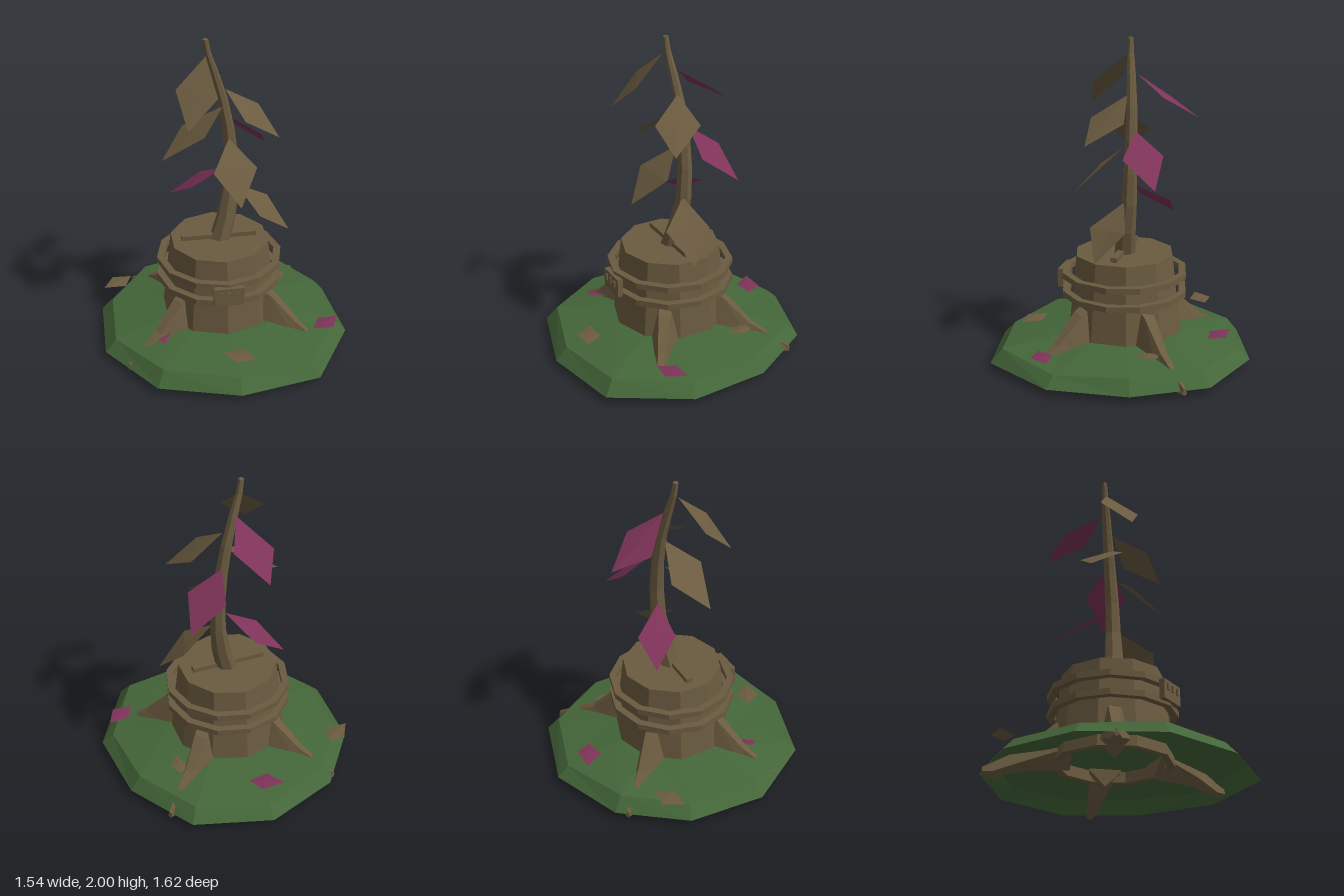
import * as THREE from 'three';

const mat = (name, color) => {
  const m = new THREE.MeshStandardMaterial({ color, flatShading: true, side: THREE.DoubleSide });
  m.name = name;
  return m;
};

// Skins a list of cross-sections, each an equal-length ring of [x, y, z] points
function loft(rings, capped) {
  const n = rings[0].length, index = [];
  for (let i = 0; i < rings.length - 1; i++) {
    for (let j = 0; j < n; j++) {
      const a = i * n + j, b = i * n + (j + 1) % n;
      index.push(a, b, a + n, b, b + n, a + n);
    }
  }
  if (capped) {
    const e = (rings.length - 1) * n;
    for (let j = 1; j < n - 1; j++) index.push(0, j + 1, j, e, e + j, e + j + 1);
  }
  const g = new THREE.BufferGeometry();
  g.setAttribute('position', new THREE.Float32BufferAttribute(rings.flat(2), 3));
  g.setIndex(index);
  g.computeVertexNormals();
  return g;
}

// Four-cornered leaf with a slightly raised middle
function leafGeometry(corners) {
  const mid = [0, 1, 2].map(k => corners.reduce((s, c) => s + c[k], 0) / 4);
  mid[1] += 0.006;
  const g = new THREE.BufferGeometry();
  g.setAttribute('position', new THREE.Float32BufferAttribute([...corners, mid].flat(), 3));
  g.setIndex([0, 1, 4, 1, 2, 4, 2, 3, 4, 3, 0, 4]);
  g.computeVertexNormals();
  return g;
}

export function createModel() {
  const model = new THREE.Group();
  const bark = mat('bark brown', 0x6b5b40);
  const grass = mat('grass green', 0x446639);
  const plum = mat('plum', 0x7e3358);
  const add = (name, geometry, material, x = 0, y = 0, z = 0) => {
    const mesh = new THREE.Mesh(geometry, material);
    mesh.name = name;
    mesh.position.set(x, y, z);
    model.add(mesh);
    return mesh;
  };
  const lathe = (points, sides) =>
    new THREE.LatheGeometry(points.map(p => new THREE.Vector2(...p)), sides);
  const cx = -0.012;

  // Grassy mound: an open shell with an uneven rim
  const rim = [[0, 0.81], [0.5, 0.71], [0.77, 0.25], [0.73, -0.25], [0.47, -0.67],
    [-0.01, -0.81], [-0.47, -0.63], [-0.75, -0.25], [-0.77, 0.24], [-0.49, 0.66]];
  const levels = [[1, 0.04], [0.91, 0.118], [0.45, 0.178], [0.001, 0.18]];
  add('mound', loft(levels.map(([s, y], i) => rim.map(([x, z], j) =>
    [x * s, y + (i === 1 ? 0.012 * Math.sin(j * 2.3) : 0), z * s]))), grass);

  // Hollow-footed stump with a bar on its cut top
  add('stump', lathe([[0.325, 0.18], [0.325, 0.11], [0.37, 0.11], [0.31, 0.67], [0, 0.67]], 10), bark, cx);
  add('topBar', new THREE.BoxGeometry(0.47, 0.03, 0.04), bark, -0.015, 0.685, 0);

  // Two hoops standing off the stump
  for (const y of [0.405, 0.523]) {
    add('hoop', lathe([[0.35, 0], [0.395, 0], [0.395, 0.037], [0.35, 0.037], [0.35, 0]], 12), bark, cx, y);
  }

  // Front clasp with raised studs
  add('clasp', new THREE.BoxGeometry(0.185, 0.12, 0.035), bark, -0.015, 0.483, 0.395);
  for (const x of [-0.067, -0.015, 0.037]) {
    add('claspStud', new THREE.BoxGeometry(0.018, 0.04, 0.01), bark, x, 0.5, 0.417);
  }

  // Roots: tapering lofts that run down into the mound
  const tips = [[-0.64, 0.42], [0.6, 0.41], [0.57, -0.54], [-0.52, -0.57]];
  for (const [tx, tz] of tips) {
    const len = Math.hypot(tx, tz), dx = tx / len, dz = tz / len;
    const sections = [[0.26, 0.07, 0.4, 0.1], [0.36, 0.06, 0.35, 0.085],
      [0.53, 0.05, 0.19, 0.055], [len - 0.06, 0.0, 0.09, 0.032], [len, 0.015, 0.06, 0.015]];
    add('root', loft(sections.map(([r, lo, hi, w]) =>
      [[-1, 0.3], [-0.45, 1], [0.4, 0.96], [1, 0.3], [0, 0]].map(([s, t]) =>
        [dx * r + dz * w * s, lo + (hi - lo) * t, dz * r - dx * w * s])), true), bark);
  }

  // Curved, tapering stem
  const path = [[-0.01, 0.64, 0, 0.07], [0.04, 0.82, -0.025, 0.06], [0.07, 1, -0.05, 0.05],
    [0.072, 1.2, -0.058, 0.045], [0.052, 1.4, -0.06, 0.04], [0.015, 1.6, -0.053, 0.034],
    [-0.035, 1.78, -0.035, 0.028], [-0.075, 1.91, -0.02, 0.021], [-0.09, 2, -0.015, 0.017]];
  add('stem', loft(path.map(([x, y, z, r]) => Array.from({ length: 7 }, (_, j) => {
    const a = -j * Math.PI * 2 / 7;
    return [x + r * Math.cos(a), y, z + r * Math.sin(a)];
  })), true), bark);

  // Hanging leaves, from the top of the stem down
  const leaves = [
    [bark, [-0.09, 1.9, 0], [-0.28, 1.735, 0.08], [-0.235, 1.555, 0.28], [-0.05, 1.72, 0.21]],
    [plum, [-0.04, 1.79, -0.07], [0.05, 1.67, -0.26], [-0.105, 1.53, -0.44], [-0.21, 1.63, -0.235]],
    [bark, [0.03, 1.67, -0.03], [0.12, 1.54, 0.17], [0.33, 1.41, 0.145], [0.24, 1.54, -0.07]],
    [bark, [0.02, 1.56, -0.03], [-0.12, 1.44, 0.14], [-0.37, 1.27, 0.07], [-0.22, 1.41, -0.11]],
    [plum, [0.06, 1.46, -0.09], [0.1, 1.33, -0.275], [0.325, 1.17, -0.285], [0.265, 1.33, -0.07]],
    [bark, [0.05, 1.35, -0.01], [0.2, 1.21, 0.13], [0.075, 1.04, 0.31], [-0.07, 1.21, 0.17]],
    [plum, [0.03, 1.12, -0.07], [-0.09, 1.0, -0.27], [-0.29, 0.875, -0.245], [-0.18, 1.0, -0.06]],
    [bark, [0.1, 1.02, -0.03], [0.31, 0.89, -0.1], [0.42, 0.72, 0.06], [0.22, 0.88, 0.15]],
  ];
  for (const [m, ...corners] of leaves) add('leaf', leafGeometry(corners), m);

  // Fallen leaves lying flat
  const fallen = [
    [plum, [-0.14, -0.655], [0.01, -0.66], [0.055, -0.56], [-0.07, -0.54]],
    [bark, [-0.665, -0.405], [-0.545, -0.4], [-0.59, -0.285], [-0.73, -0.285]],
    [plum, [0.58, 0.275], [0.705, 0.27], [0.65, 0.39], [0.525, 0.38]],
    [bark, [-0.075, 0.54], [0.06, 0.53], [0.12, 0.645], [-0.015, 0.655]],
    [plum, [-0.45, 0.35], [-0.35, 0.28], [-0.385, 0.345], [-0.415, 0.395]],
    [bark, [0.36, -0.32], [0.435, -0.34], [0.47, -0.27], [0.405, -0.18]],
  ];
  for (const [m, ...corners] of fallen) {
    add('fallenLeaf', leafGeometry(corners.map(([x, z]) => [x, 0.174, z])), m);
  }
  return model;
}
